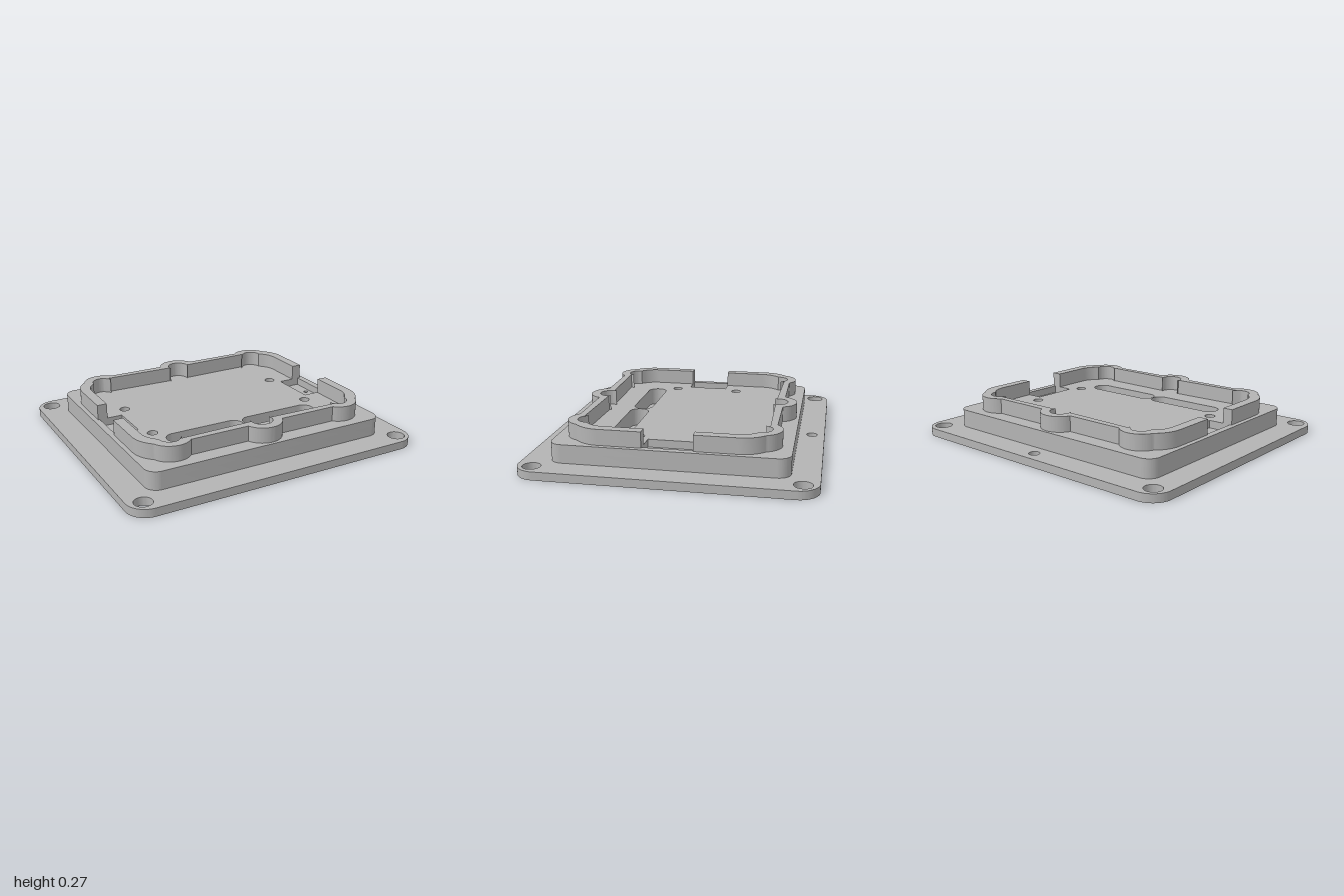
import * as THREE from 'three';
import { toCreasedNormals } from 'three/addons/utils/BufferGeometryUtils.js';

const grey = new THREE.MeshStandardMaterial({ color: 0xb4b4b4 });
grey.name = 'grey';

// Levels of the stacked layers
const PLATE = 0.053, LEDGE = 0.12, DECK = 0.17, RIM = 0.27;

// Extrude a plan outline (x, z) between two heights
function slab(name, shape, bottom, top) {
  const geo = new THREE.ExtrudeGeometry(shape, { depth: top - bottom, bevelEnabled: false, curveSegments: 20 });
  geo.rotateX(Math.PI / 2);
  geo.translate(0, top, 0);
  const mesh = new THREE.Mesh(toCreasedNormals(geo, 0.5), grey);
  mesh.name = name;
  return mesh;
}

function roundRect(cx, cz, hx, hz, r, Type = THREE.Path) {
  const p = new Type();
  p.moveTo(cx + hx, cz - hz + r);
  p.absarc(cx + hx - r, cz + hz - r, r, 0, Math.PI / 2);
  p.absarc(cx - hx + r, cz + hz - r, r, Math.PI / 2, Math.PI);
  p.absarc(cx - hx + r, cz - hz + r, r, Math.PI, Math.PI * 1.5);
  p.absarc(cx + hx - r, cz - hz + r, r, Math.PI * 1.5, Math.PI * 2);
  p.closePath();
  return p;
}

function box(x0, x1, hz) {
  return new THREE.Path([[x0, -hz], [x1, -hz], [x1, hz], [x0, hz], [x0, -hz]].map(([x, z]) => new THREE.Vector2(x, z)));
}

function hole(x, z, r) {
  return new THREE.Path().absarc(x, z, r, 0, Math.PI * 2);
}

// Quarter outline of the rim: a rounded rectangle merged with screw bosses, ordered from z axis to x axis
function rimQuarter(hx, hz, r, bossR) {
  const bosses = [[0, 0.575], [0.605, 0.53]];
  const inBoss = (p, skip) => bosses.some(([x, z], i) => i !== skip && Math.hypot(p.x - x, p.y - z) < bossR - 1e-6);
  const inRect = (p) => {
    const dx = Math.max(p.x - hx + r, 0), dz = Math.max(p.y - hz + r, 0);
    return Math.hypot(dx, dz) < r - 1e-6;
  };
  const pts = [];
  const n = 180;
  for (let i = 0; i <= n; i++) {
    const a = (i / n) * Math.PI * 2;
    bosses.forEach(([x, z], k) => {
      const p = new THREE.Vector2(x + bossR * Math.cos(a), z + bossR * Math.sin(a));
      if (p.x > 1e-4 && p.y > 0.2 && i < n && !inRect(p) && !inBoss(p, k)) pts.push(p);
    });
    if (i <= n / 4 && i % 3 === 0) {
      const p = new THREE.Vector2(hx - r + r * Math.cos(a), hz - r + r * Math.sin(a));
      if (!inBoss(p)) pts.push(p);
    }
  }
  // Exact corners where the bosses leave the straight wall
  for (const [x, z] of bosses) {
    const d = Math.sqrt(bossR ** 2 - (hz - z) ** 2);
    pts.push(new THREE.Vector2(x === 0 ? d : x - d, hz));
  }
  return pts.sort((a, b) => Math.atan2(a.x, a.y) - Math.atan2(b.x, b.y));
}

// One half of the rim, ending at the gap on each side
function rimHalf(side) {
  const halfLine = (hx, hz, r, bossR) => {
    const q = rimQuarter(hx, hz, r, bossR);
    const mirrored = q.map((p) => new THREE.Vector2(-p.x, p.y)).reverse();
    return [new THREE.Vector2(-hx, 0.135), ...mirrored, ...q, new THREE.Vector2(hx, 0.155)];
  };
  const outline = [...halfLine(0.8, 0.62, 0.2, 0.13), ...halfLine(0.735, 0.555, 0.15, 0.07).reverse()];
  return new THREE.Shape(outline.map((p) => new THREE.Vector2(p.x, p.y * side)));
}

export function createModel() {
  const model = new THREE.Group();
  model.name = 'enclosureBase';

  const sides = [-1, 1];
  const slotX = 0.273, slotZ = 0.357;
  const sideScrews = () => sides.map((s) => hole(s * 0.75, 0, 0.015));
  const slotRecesses = () => sides.map((s) => roundRect(s * slotX, slotZ, 0.268, 0.064, 0.0635));

  // Flange with corner holes, locating hole and connector cutouts
  const plate = roundRect(0, 0, 1, 0.895, 0.13, THREE.Shape);
  plate.holes.push(hole(0, -0.812, 0.035), ...sideScrews());
  for (const sx of sides) {
    for (const sz of sides) plate.holes.push(hole(sx * 0.905, sz * 0.8, 0.056));
    plate.holes.push(roundRect(sx * slotX, slotZ, 0.17, 0.053, 0.048));
    for (const k of sides) plate.holes.push(hole(sx * slotX + k * 0.206, slotZ, 0.019));
  }
  model.add(slab('flangePlate', plate, 0, PLATE));

  // Raised platform, lower layer
  const lower = roundRect(0, 0, 0.83, 0.725, 0.08, THREE.Shape);
  lower.holes.push(...sideScrews(), ...slotRecesses());
  model.add(slab('platformLower', lower, PLATE, LEDGE));

  // Raised platform, upper layer with side pockets and blind mounting holes
  const upper = roundRect(0, 0, 0.83, 0.725, 0.08, THREE.Shape);
  upper.holes.push(...slotRecesses(), box(0.632, 0.785, 0.155), box(-0.788, -0.635, 0.135));
  for (const sx of sides) for (const sz of sides) upper.holes.push(hole(sx * 0.578, sz * 0.222, 0.033));
  model.add(slab('platformUpper', upper, LEDGE, DECK));

  // Rim wall with screw bosses
  model.add(slab('rimFront', rimHalf(1), DECK, RIM));
  model.add(slab('rimBack', rimHalf(-1), DECK, RIM));

  return model;
}
